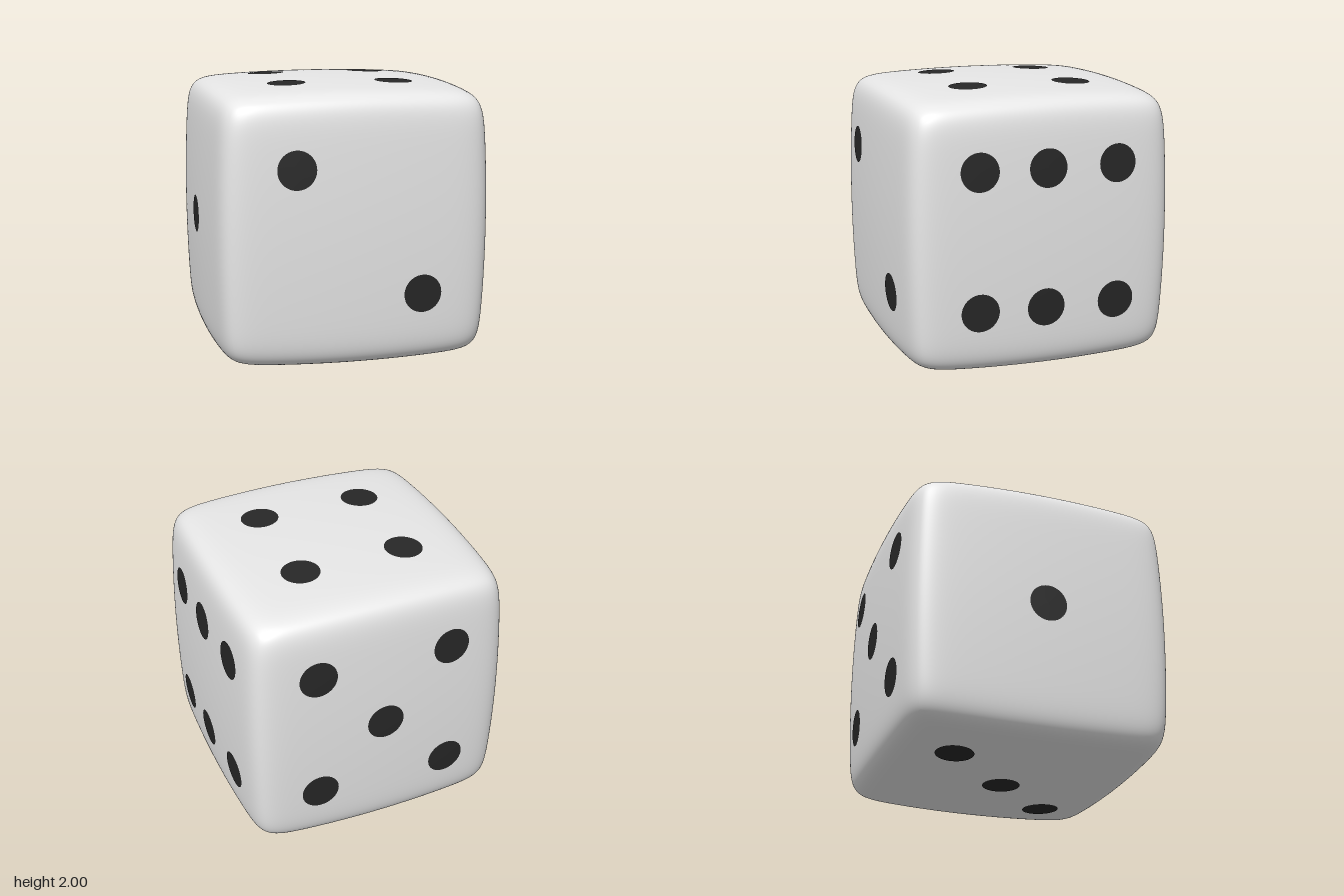
import * as THREE from 'three';
import { mergeVertices } from 'three/addons/utils/BufferGeometryUtils.js';

const BULGE = 0.04, POWER = 14; // face bulge and edge sharpness
const DOT_RADIUS = 0.137, LIFT = 0.004;

// Softened cube: below 1 inside, above 1 outside
function field(p) {
  const x = p.x * p.x, y = p.y * p.y, z = p.z * p.z;
  return Math.pow(Math.abs(p.x) + BULGE * (y + z), POWER)
    + Math.pow(Math.abs(p.y) + BULGE * (x + z), POWER)
    + Math.pow(Math.abs(p.z) + BULGE * (x + y), POWER);
}

// Point where a ray leaves the softened cube
function hitSurface(origin, direction) {
  const p = new THREE.Vector3();
  let near = 0, far = 2;
  for (let i = 0; i < 32; i++) {
    const t = (near + far) / 2;
    p.copy(origin).addScaledVector(direction, t);
    if (field(p) < 1) near = t; else far = t;
  }
  return p;
}

// Body: a box grid, denser towards its edges, pulled onto the softened cube
function bodyGeometry() {
  const box = new THREE.BoxGeometry(2, 2, 2, 48, 48, 48);
  box.deleteAttribute('uv');
  box.deleteAttribute('normal');
  const pos = box.attributes.position;
  const centre = new THREE.Vector3(), v = new THREE.Vector3();
  const ease = (t) => Math.sin(t * Math.PI / 2);
  for (let i = 0; i < pos.count; i++) {
    v.fromBufferAttribute(pos, i);
    v.set(ease(v.x), ease(v.y), ease(v.z)).normalize();
    const p = hitSurface(centre, v);
    pos.setXYZ(i, p.x, p.y, p.z);
  }
  const merged = mergeVertices(box, 1e-5);
  merged.computeVertexNormals();
  return merged;
}

// Dot: a disc laid just above the curved face
function dotGeometry(u, v, uAxis, vAxis, normal) {
  const disc = new THREE.CircleGeometry(DOT_RADIUS, 48);
  const pos = disc.attributes.position;
  for (let i = 0; i < pos.count; i++) {
    const origin = new THREE.Vector3()
      .addScaledVector(uAxis, u + pos.getX(i))
      .addScaledVector(vAxis, v + pos.getY(i));
    const p = hitSurface(origin, normal).addScaledVector(normal, LIFT);
    pos.setXYZ(i, p.x, p.y, p.z);
  }
  disc.computeVertexNormals();
  return disc;
}

export function createModel() {
  const white = new THREE.MeshStandardMaterial({ name: 'offWhite', color: 0xe7e7e7 });
  const black = new THREE.MeshStandardMaterial({ name: 'dotBlack', color: 0x272727 });

  const model = new THREE.Group();
  model.name = 'die';
  const cube = new THREE.Group();
  cube.position.y = 1;
  model.add(cube);
  cube.name = 'cube';

  const body = new THREE.Mesh(bodyGeometry(), white);
  body.name = 'body';
  cube.add(body);

  // Each face: u axis, v axis (u x v points outwards) and dot centres
  const X = [1, 0, 0], Y = [0, 1, 0], Z = [0, 0, 1];
  const faces = [
    { name: 'frontDots', u: X, v: Y, dots: [[-0.45, 0.46], [0.45, -0.45]] },
    { name: 'backDots', u: Y, v: X, dots: [[0, 0], [0.5, 0.5], [0.5, -0.5], [-0.5, 0.49], [-0.5, -0.5]] },
    { name: 'sixDots', u: Y, v: Z, dots: [[0.49, 0.49], [0.49, 0], [0.49, -0.52], [-0.5, 0.49], [-0.5, 0.01], [-0.5, -0.52]] },
    { name: 'singleDot', u: Z, v: Y, dots: [[0, 0]] },
    { name: 'topDots', u: Z, v: X, dots: [[-0.385, -0.395], [-0.4, 0.39], [0.38, -0.395], [0.385, 0.395]] },
    { name: 'bottomDots', u: X, v: Z, dots: [[0.46, 0.48], [0, 0], [-0.46, -0.5]] },
  ];
  for (const face of faces) {
    const u = new THREE.Vector3(...face.u), v = new THREE.Vector3(...face.v);
    const normal = new THREE.Vector3().crossVectors(u, v);
    const group = new THREE.Group();
    group.name = face.name;
    for (const [a, b] of face.dots) {
      const dot = new THREE.Mesh(dotGeometry(a, b, u, v, normal), black);
      dot.name = 'dot';
      group.add(dot);
    }
    cube.add(group);
  }
  return model;
}
